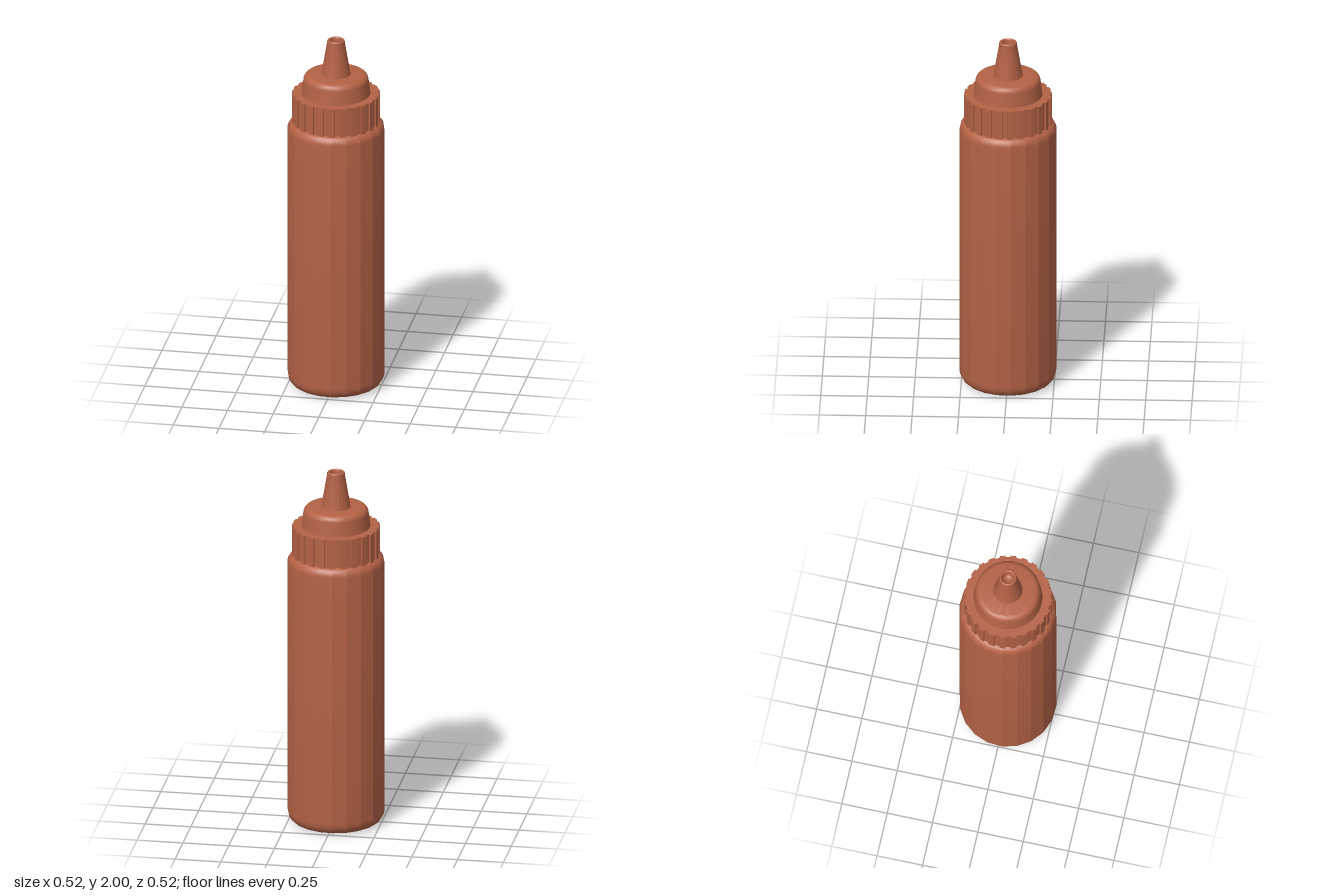
import * as THREE from 'three';
import { toCreasedNormals } from 'three/addons/utils/BufferGeometryUtils.js';

const TURN = THREE.MathUtils.degToRad(5); // shared twist of the facets and ribs

// Quarter-round profile points about (cx, cy), from angle a to b in degrees
function arc(cx, cy, rx, ry, a, b, steps) {
  const pts = [];
  for (let i = 0; i <= steps; i++) {
    const t = THREE.MathUtils.degToRad(a + ((b - a) * i) / steps);
    pts.push([cx + rx * Math.cos(t), cy + ry * Math.sin(t)]);
  }
  return pts;
}

function lathe(profile, sides, creaseDegrees) {
  const pts = profile.map(([r, y]) => new THREE.Vector2(Math.max(r, 0), y));
  const geo = new THREE.LatheGeometry(pts, sides, TURN);
  return toCreasedNormals(geo, THREE.MathUtils.degToRad(creaseDegrees));
}

// Ribbed ring outline: raised ribs with narrow grooves between
function ribbedShape(ribs, inner, outer, halfRib) {
  const pts = [];
  const at = (r, a) => pts.push(new THREE.Vector2(r * Math.sin(a), -r * Math.cos(a)));
  for (let i = 0; i < ribs; i++) {
    const a = TURN + (i / ribs) * Math.PI * 2;
    at(inner, a - halfRib);
    at(outer, a - halfRib * 0.94);
    at(outer, a + halfRib * 0.94);
    at(inner, a + halfRib);
  }
  return new THREE.Shape(pts);
}

export function createModel() {
  const group = new THREE.Group();
  const material = new THREE.MeshStandardMaterial({ color: 0xb46246 });
  const add = (name, geometry) => {
    const mesh = new THREE.Mesh(geometry, material);
    mesh.name = name;
    group.add(mesh);
  };

  // Twenty-sided bottle with rounded base and shoulder
  add('bottle', lathe([
    [0, 0],
    ...arc(0.212, 0.065, 0.05, 0.065, -90, 0, 7),
    ...arc(0.222, 1.48, 0.04, 0.05, 0, 90, 7),
    [0, 1.53],
  ], 20, 17));

  // Ribbed screw cap
  const cap = new THREE.ExtrudeGeometry(ribbedShape(24, 0.228, 0.237, 0.073), { depth: 0.165, bevelEnabled: false });
  cap.rotateX(-Math.PI / 2).translate(0, 1.525, 0);
  add('ribbedCap', cap);

  // Tapered dome above the cap
  add('capDome', lathe([
    [0.186, 1.685],
    ...arc(0.145, 1.765, 0.031, 0.035, 0, 90, 7),
    [0, 1.8],
  ], 48, 30));

  // Faceted nozzle with a rounded lip and a bowl-shaped opening
  add('nozzle', lathe([
    [0.08, 1.795],
    [0.048, 1.985],
    ...arc(0.04, 1.99, 0.008, 0.01, 0, 180, 8),
    [0.031, 1.975],
    ...arc(0, 1.975, 0.031, 0.025, 0, -90, 6),
  ], 20, 17));

  return group;
}
